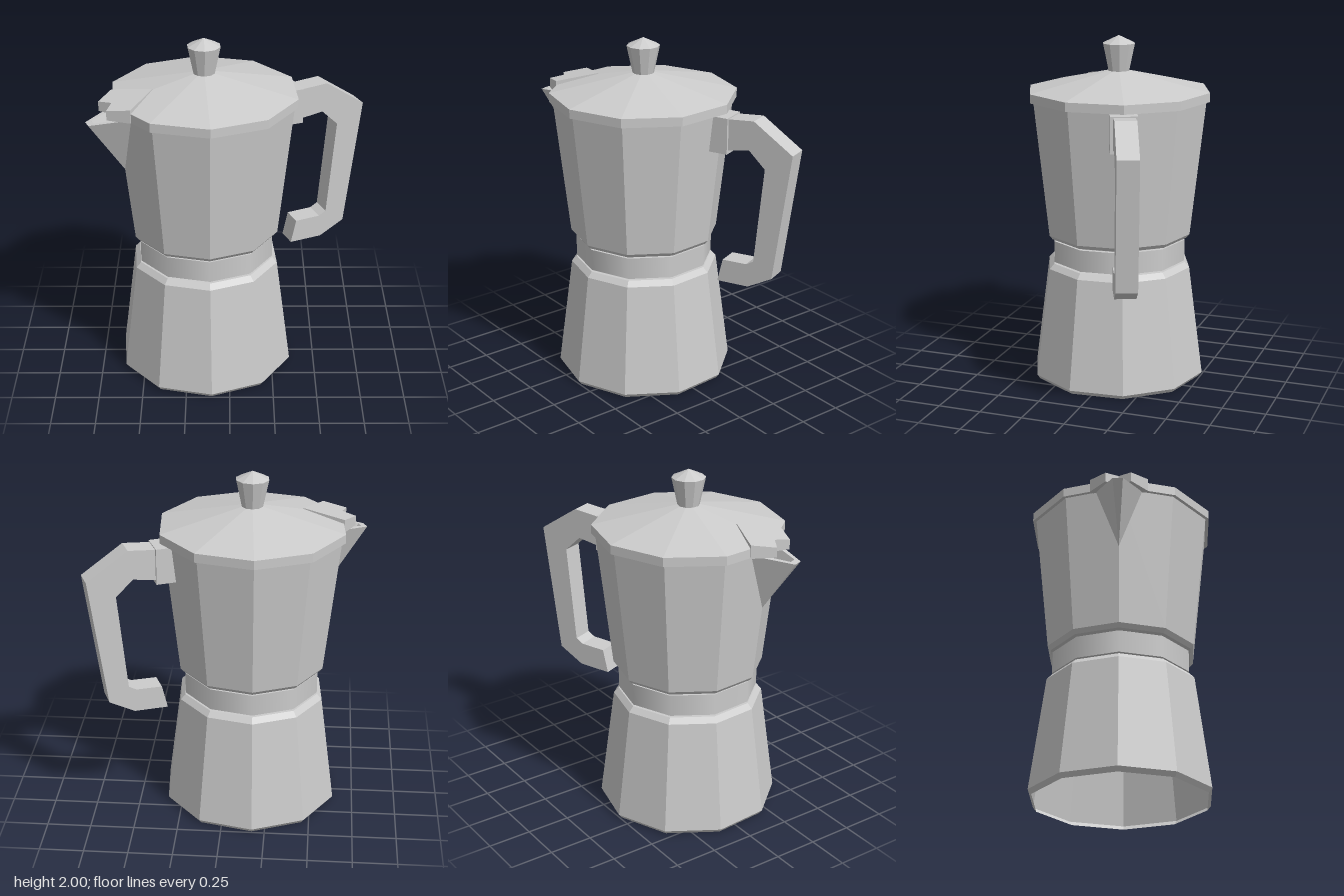
import * as THREE from 'three';

const flat = new THREE.MeshStandardMaterial({ color: 0xcccccc, flatShading: true });
const flatDouble = new THREE.MeshStandardMaterial({ color: 0xcccccc, flatShading: true, side: THREE.DoubleSide });
const smooth = new THREE.MeshStandardMaterial({ color: 0xcccccc });

const vec2 = (points) => points.map(([x, y]) => new THREE.Vector2(x, y));

export function createModel() {
  const model = new THREE.Group();
  model.name = 'stovetopCoffeePot';
  // The handle points along local +x and the spout along local -x
  const pot = new THREE.Group();
  pot.name = 'pot';
  pot.position.x = -0.14;
  pot.rotation.y = 0.389;
  model.add(pot);

  const add = (name, geometry, material = flat) => {
    const mesh = new THREE.Mesh(geometry, material);
    mesh.name = name;
    pot.add(mesh);
    return mesh;
  };
  // Ten-sided turned part with a corner on the handle axis
  const turned = (name, profile, material) =>
    add(name, new THREE.LatheGeometry(vec2(profile), 10, Math.PI / 2), material);

  // Hollow boiler, open underneath
  turned('boiler', [[0.49, 0], [0.51, 0.025], [0.425, 0.665], [0.397, 0.695], [0.36, 0.695]], flatDouble);

  // Collar between boiler and jug
  turned('collarBand', [[0.395, 0.705], [0.395, 0.83]], smooth);
  turned('collarCore', [[0.36, 0.69], [0.36, 0.705], [0.395, 0.705]]);
  turned('collarTop', [[0.395, 0.83], [0.37, 0.83], [0.37, 0.845]]);

  // Upper jug
  turned('jug', [[0.36, 0.842], [0.405, 0.842], [0.424, 0.865], [0.51, 1.642]]);

  // Lid and knob
  turned('lid', [[0.49, 1.642], [0.53, 1.642], [0.53, 1.693], [0.05, 1.802], [0, 1.802]]);
  turned('knob', [[0, 1.795], [0.06, 1.795], [0.094, 1.955], [0, 2]]);

  // Lid tab over the spout, with a notched end and a sloping top
  const tab = new THREE.ExtrudeGeometry(new THREE.Shape(vec2([
    [-0.3, 0], [-0.483, 0.16], [-0.588, 0.07], [-0.535, 0], [-0.588, -0.07], [-0.483, -0.16],
  ])), { depth: 1, bevelEnabled: false }).rotateX(-Math.PI / 2);
  const p = tab.attributes.position;
  for (let i = 0; i < p.count; i++) {
    p.setY(i, p.getY(i) > 0.5 ? 1.75 + (p.getX(i) + 0.3) * 0.19 : 1.64);
  }
  tab.computeVertexNormals();
  add('lidTab', tab);

  // Spout: loops of left rim, left tip, right tip, right rim; outside and channel meet at the lip
  const outer = [[-0.46, 1.645, 0.132], [-0.678, 1.605, 0.028], [-0.678, 1.605, -0.028], [-0.46, 1.645, -0.132]];
  const inner = [[-0.46, 1.645, 0.1], [-0.645, 1.611, 0.02], [-0.645, 1.611, -0.02], [-0.46, 1.645, -0.1]];
  const outerFoot = [-0.472, 1.3, 0];
  const innerFoot = [-0.472, 1.37, 0];
  const corners = [];
  for (let i = 0; i < 3; i++) {
    const [a, b, c, d] = [outer[i], outer[i + 1], inner[i], inner[i + 1]];
    corners.push(a, outerFoot, b, c, d, innerFoot, a, b, c, b, d, c);
  }
  const spout = new THREE.BufferGeometry();
  spout.setAttribute('position', new THREE.Float32BufferAttribute(corners.flat(), 3));
  spout.computeVertexNormals();
  add('spout', spout, flatDouble);

  // Handle bracket
  const bracket = new THREE.BoxGeometry(0.12, 0.205, 0.15);
  add('handleBracket', bracket).position.set(0.512, 1.5375, 0);

  // Angular handle
  const handle = new THREE.ExtrudeGeometry(new THREE.Shape(vec2([
    [0.56, 1.455], [0.56, 1.633], [0.724, 1.647], [0.959, 1.49], [0.858, 0.75], [0.712, 0.67],
    [0.52, 0.665], [0.552, 0.8], [0.7, 0.805], [0.743, 0.83], [0.797, 1.385], [0.7, 1.477],
  ])), { depth: 0.12, bevelEnabled: false }).translate(0, 0, -0.06);
  add('handle', handle);

  return model;
}
